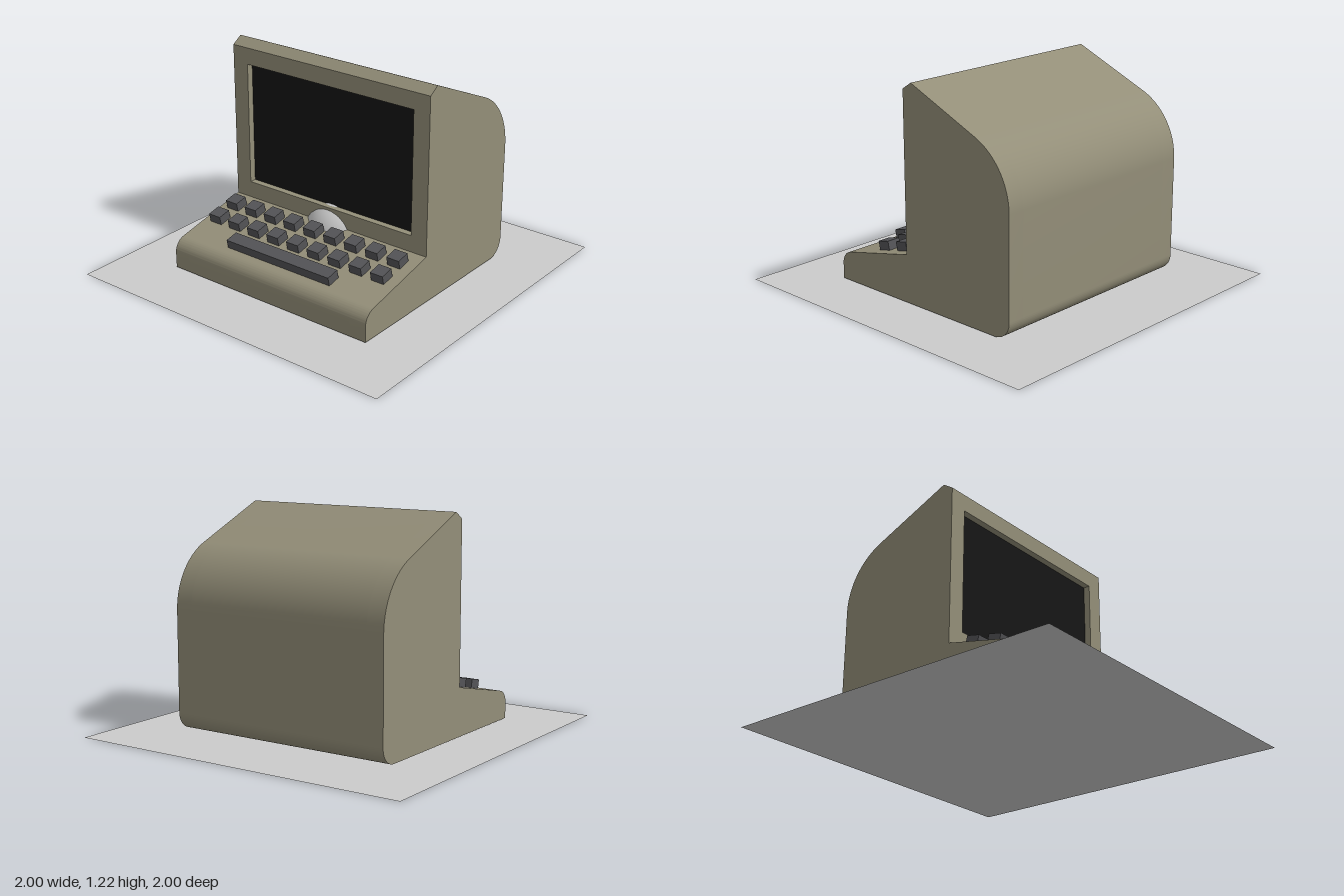
import * as THREE from 'three';
import { toCreasedNormals } from 'three/addons/utils/BufferGeometryUtils.js';

const HALF_W = 0.66, SCREEN_W = 1.12, FACE_Z = 0.12, SCREEN_Z = 0.08;
const SCREEN_BOTTOM = 0.375, SCREEN_TOP = 1.08;
const SLOPE = Math.atan2(0.102, 0.457); // tilt of the keyboard deck

const material = (color, side = THREE.FrontSide) =>
  new THREE.MeshStandardMaterial({ color, side });

function addMesh(parent, name, geometry, mat, x = 0, y = 0, z = 0) {
  const mesh = new THREE.Mesh(geometry, mat);
  mesh.name = name;
  mesh.position.set(x, y, z);
  parent.add(mesh);
  return mesh;
}

// Side outline of the case, drawn as (z, y); optionally notched for the screen
function caseProfile(notched) {
  const s = new THREE.Shape();
  s.moveTo(0.64, 0.01);
  s.lineTo(0.64, 0.10);
  s.absarc(0.56, 0.10, 0.08, 0, Math.PI / 2 - SLOPE, false);
  s.lineTo(FACE_Z, 0.28);
  if (notched) {
    s.lineTo(FACE_Z, SCREEN_BOTTOM);
    s.lineTo(SCREEN_Z, SCREEN_BOTTOM);
    s.lineTo(SCREEN_Z, SCREEN_TOP);
    s.lineTo(FACE_Z, SCREEN_TOP);
  }
  s.lineTo(FACE_Z, 1.175);
  s.lineTo(0.06, 1.215);
  s.absarc(-0.24, 0.67, 0.38, Math.PI / 2 + 0.406, Math.PI, false);
  s.absarc(-0.52, 0.11, 0.10, Math.PI, Math.PI * 1.5, false);
  s.closePath();
  return s;
}

// Slab of the case between two x positions
function caseSlab(x0, x1, notched) {
  const g = new THREE.ExtrudeGeometry(caseProfile(notched), {
    depth: x1 - x0, bevelEnabled: false, curveSegments: 16,
  });
  g.rotateY(-Math.PI / 2);
  g.translate(x1, 0, 0);
  return toCreasedNormals(g, 0.45);
}

export function createModel() {
  const model = new THREE.Group();
  model.name = 'desktopComputer';
  const grey = material(0xcccccc);
  const caseMat = material(0x948f79);
  const keyMat = material(0x545457);

  // Ground sheet and the ball resting on it, half buried in the case
  const sheet = new THREE.PlaneGeometry(2, 2).rotateX(-Math.PI / 2);
  addMesh(model, 'groundSheet', sheet, material(0xcccccc, THREE.DoubleSide));
  addMesh(model, 'ball', new THREE.SphereGeometry(0.2, 32, 16), grey, 0, 0.2, 0);

  // Case: two full side slabs and a notched middle
  const body = new THREE.Group();
  body.name = 'case';
  model.add(body);
  const inner = SCREEN_W / 2;
  addMesh(body, 'caseRight', caseSlab(-HALF_W, -inner, false), caseMat);
  addMesh(body, 'caseMiddle', caseSlab(-inner, inner, true), caseMat);
  addMesh(body, 'caseLeft', caseSlab(inner, HALF_W, false), caseMat);

  // Recessed screen
  addMesh(model, 'screen',
    new THREE.PlaneGeometry(SCREEN_W, SCREEN_TOP - SCREEN_BOTTOM),
    material(0x161616), 0, (SCREEN_TOP + SCREEN_BOTTOM) / 2, SCREEN_Z + 0.002);

  // Keyboard, tilted with the deck
  const keyboard = new THREE.Group();
  keyboard.name = 'keyboard';
  model.add(keyboard);
  const deckY = (z) => 0.28 - (z - FACE_Z) * Math.tan(SLOPE);
  const addKey = (name, width, x, z) => {
    const key = addMesh(keyboard, name, new THREE.BoxGeometry(width, 0.06, 0.078),
      keyMat, x, deckY(z) + 0.021, z);
    key.rotation.x = SLOPE;
  };
  for (const z of [0.23, 0.37])
    for (let i = 0; i < 9; i++) addKey('key', 0.08, -0.573 + i * 0.141, z);
  addKey('spaceBar', 0.705, -0.002, 0.508);

  return model;
}
